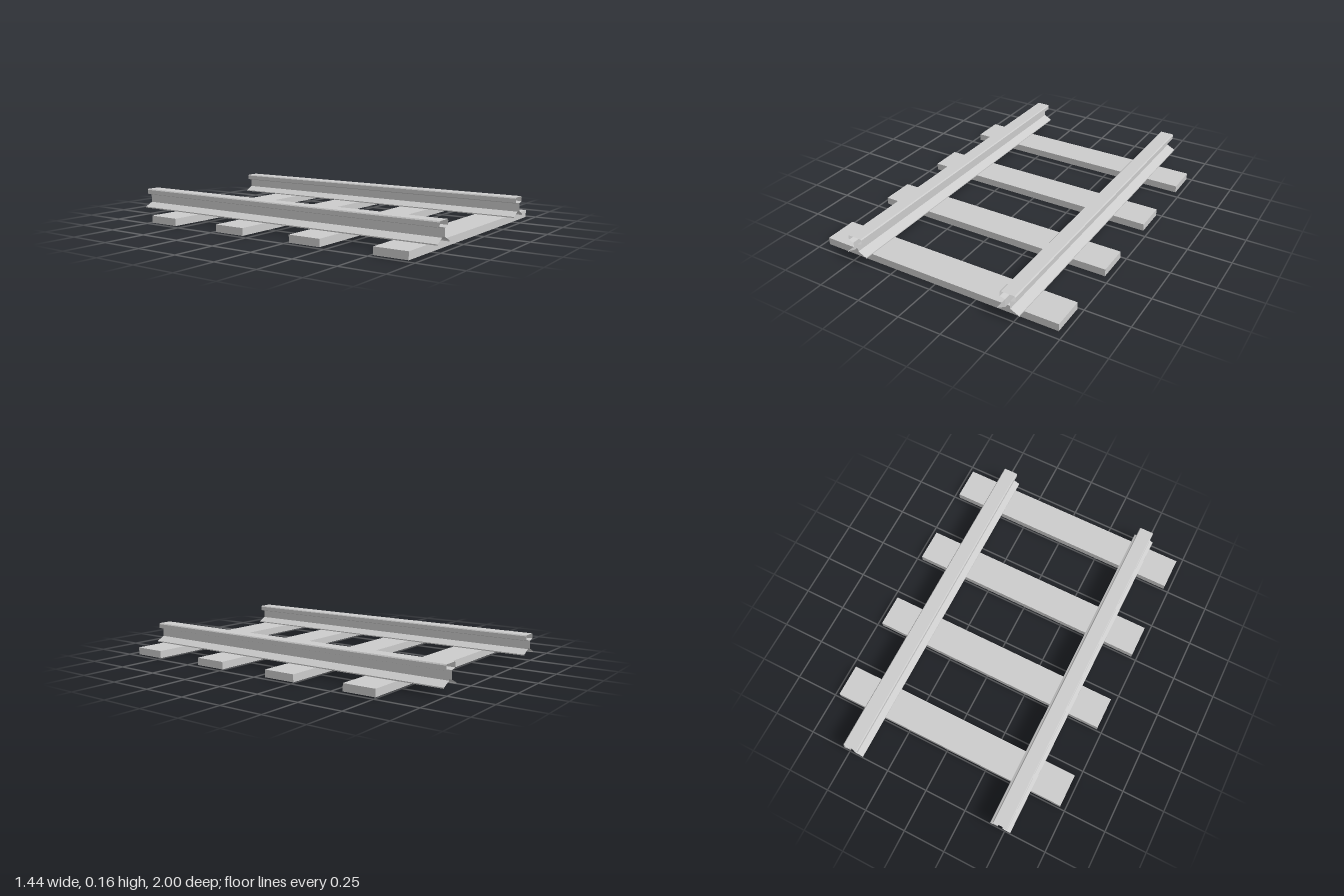
import * as THREE from 'three';

const material = new THREE.MeshStandardMaterial({
  color: 0xcccccc, flatShading: true, side: THREE.DoubleSide,
});

// Right half of the rail section, from foot edge up to the top of the head
const halfSection = [
  [0.062, 0.042], [0.062, 0.048], [0.014, 0.072], [0.014, 0.118],
  [0.044, 0.126], [0.044, 0.15], [0.039, 0.156],
];

// Hollow rail: the open section swept along z, without end caps or underside
function makeRail() {
  const mirrored = halfSection.map(([x, y]) => [-x, y]).reverse();
  const section = [...halfSection, ...mirrored];
  const geometry = new THREE.PlaneGeometry(1, 2, section.length - 1, 1);
  const pos = geometry.attributes.position;
  for (let i = 0; i < pos.count; i++) {
    const [x, y] = section[i % section.length];
    pos.setXYZ(i, x, y, i < section.length ? -1 : 1);
  }
  // reverse the winding so that faces look outwards
  const index = geometry.index;
  for (let i = 0; i < index.count; i += 3) {
    const b = index.getX(i + 1);
    index.setX(i + 1, index.getX(i + 2));
    index.setX(i + 2, b);
  }
  const flat = geometry.toNonIndexed();
  flat.computeVertexNormals();
  return flat;
}

// Shallow tray turned upside down: a box without its bottom face
function makeSleeper() {
  const geometry = new THREE.BoxGeometry(1.436, 0.042, 0.19);
  const index = Array.from(geometry.index.array);
  index.splice(18, 6);
  geometry.setIndex(index);
  return geometry;
}

export function createModel() {
  const group = new THREE.Group();
  group.name = 'railwayTrack';

  const sleeper = makeSleeper();
  for (let i = 0; i < 4; i++) {
    const mesh = new THREE.Mesh(sleeper, material);
    mesh.name = `sleeper${i + 1}`;
    mesh.position.set(0, 0.021, -0.645 + i * 0.5);
    group.add(mesh);
  }

  const rail = makeRail();
  for (const [name, x] of [['leftRail', 0.468], ['rightRail', -0.472]]) {
    const mesh = new THREE.Mesh(rail, material);
    mesh.name = name;
    mesh.position.x = x;
    group.add(mesh);
  }
  return group;
}
